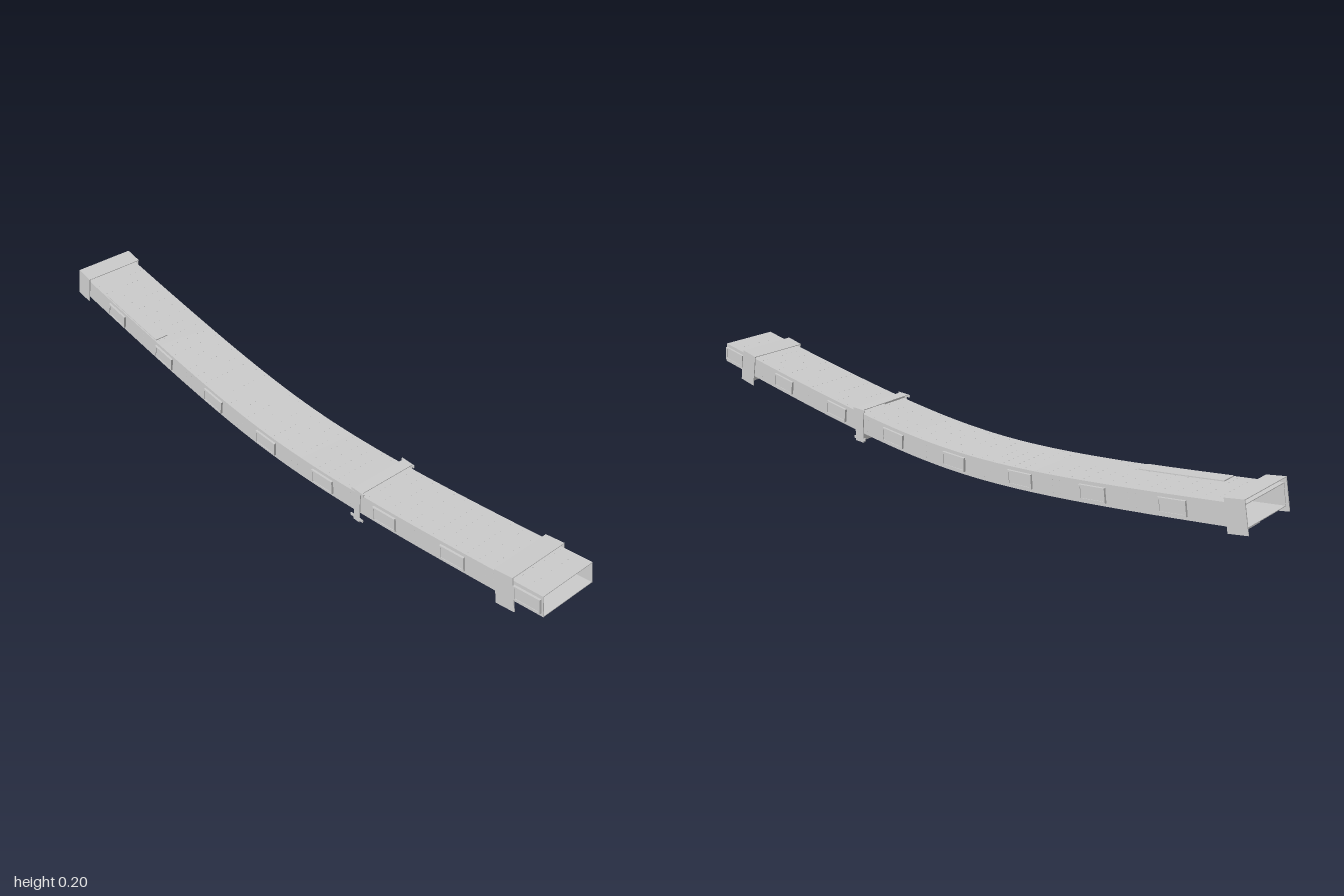
import * as THREE from 'three';
import { mergeGeometries } from 'three/addons/utils/BufferGeometryUtils.js';

const HALF_H = 0.031, HALF_W = 0.092;

// Height and slope of the sagging centre line
const sag = (x) => 0.041 + (x < 0 ? 0.185 : 0.165) * (Math.hypot(x, 0.45) - 0.45);
const slope = (x) => Math.atan((sag(x + 0.001) - sag(x - 0.001)) / 0.002);

// Bend a geometry laid out along x so it follows the centre line
function bend(geometry) {
  const p = geometry.attributes.position;
  for (let i = 0; i < p.count; i++) {
    const x = p.getX(i), y = p.getY(i), a = slope(x);
    p.setX(i, x - y * Math.sin(a));
    p.setY(i, sag(x) + y * Math.cos(a));
  }
  geometry.computeVertexNormals();
  return geometry;
}

function box(w, h, d, x, y, z, segments = 1) {
  return new THREE.BoxGeometry(w, h, d, segments, 1, 1).translate(x, y, z);
}

export function createModel() {
  const model = new THREE.Group();
  const material = new THREE.MeshStandardMaterial({ color: 0xcccccc });
  const add = (name, geometry, parent = model) => {
    const mesh = new THREE.Mesh(geometry, material);
    mesh.name = name;
    parent.add(mesh);
    return mesh;
  };

  // Hollow curved duct, open at both ends
  const x0 = -0.984, x1 = 0.991, len = x1 - x0, mid = (x0 + x1) / 2, t = 0.002;
  for (const s of [1, -1]) {
    add(s > 0 ? 'ductTop' : 'ductBottom',
      bend(box(len, t, HALF_W * 2, mid, s * (HALF_H - t / 2), 0, 48)));
    add(s > 0 ? 'ductFrontWall' : 'ductBackWall',
      bend(box(len, HALF_H * 2 - 2 * t, t, mid, 0, s * (HALF_W - t / 2), 48)));
  }

  // Framed side panels, eight on each side
  const outline = new THREE.Shape();
  outline.moveTo(-0.042, -0.021).lineTo(0.042, -0.021).lineTo(0.042, 0.021).lineTo(-0.042, 0.021).closePath();
  const opening = new THREE.Path();
  opening.moveTo(-0.037, -0.016).lineTo(-0.037, 0.016).lineTo(0.037, 0.016).lineTo(0.037, -0.016).closePath();
  outline.holes.push(opening);
  const panel = mergeGeometries([
    new THREE.ExtrudeGeometry(outline, { depth: 0.007, bevelEnabled: false }).toNonIndexed?.() ?? null,
    box(0.075, 0.033, 0.005, 0, 0, 0.0025).toNonIndexed(),
  ].filter(Boolean));
  for (const side of [1, -1]) {
    for (let i = 0; i < 8; i++) {
      const x = -0.781 + i * 0.2465;
      const mesh = add(side > 0 ? 'frontPanel' : 'backPanel', panel);
      mesh.position.set(x, sag(x), side * HALF_W);
      mesh.rotation.z = slope(x);
      if (side < 0) {
        mesh.rotation.set(0, Math.PI, -slope(x));
      }
    }
  }

  // Rivet rows across the top and down the sides
  const rivets = [];
  const rivet = (x, y, z, onSide) => {
    const g = new THREE.CylinderGeometry(0.0018, 0.0018, 0.0012, 5);
    if (onSide) g.rotateX(Math.PI / 2);
    rivets.push(g.translate(x, y, z));
  };
  for (let i = 0; i < 48; i++) {
    const x = -0.94 + i * 0.04;
    for (let j = 0; j < 9; j++) rivet(x, HALF_H, -0.08 + j * 0.02, false);
  }
  for (let i = 0; i < 7; i++) {
    for (const dx of [-0.012, 0.012]) for (const y of [-0.018, 0, 0.018]) for (const s of [1, -1]) {
      rivet(-0.658 + i * 0.2465 + dx, y, s * HALF_W, true);
    }
  }
  add('rivets', bend(mergeGeometries(rivets)));

  // Thin raised strip along the top
  add('topStrip', bend(box(0.26, 0.003, 0.045, -0.715, HALF_H + 0.0015, 0.066, 8)));

  // Clamps: side plates, raised top plate, riser and cross plates below
  function clamp(name, { x, y, tilt, top, bottom, width, frontWidth, skirts, bulkhead }) {
    const g = new THREE.Group();
    g.name = name;
    g.position.set(x, y, 0);
    g.rotation.z = tilt;
    const h = top - bottom, cy = (top + bottom) / 2;
    add('clampBackPlate', box(width, h, 0.003, 0, cy, -0.0955), g);
    add('clampFrontPlate', box(frontWidth, h, 0.003, 0, cy, 0.0955), g);
    add('clampTopPlate', box(width, 0.002, 0.194, 0, top - 0.001, 0), g);
    const rise = top - HALF_H;
    add('clampRiser', box(0.003, rise, 0.087, 0, HALF_H + rise / 2, 0.0535), g);
    for (const s of skirts) {
      const drop = -HALF_H - bottom - (s > 0 ? 0.004 : 0);
      add('clampSkirt', box(0.003, drop, 0.096, 0, -HALF_H - drop / 2, s * 0.048), g);
    }
    if (bulkhead) add('clampBulkhead', box(0.003, 0.058, 0.18, 0, 0, 0), g);
    model.add(g);
    return g;
  }

  clamp('leftEndClamp', { x: -0.962, y: sag(-0.962), tilt: -0.2, top: 0.045, bottom: -0.046,
    width: 0.058, frontWidth: 0.058, skirts: [1, -1] });
  const middle = clamp('middleClamp', { x: 0.348, y: 0.058, tilt: 0, top: 0.047, bottom: -0.058,
    width: 0.034, frontWidth: 0.022, skirts: [-1] });
  // Flared lips on the middle clamp
  for (const y of [0.043, -0.048]) {
    add('clampLip', box(0.048, 0.008, 0.003, 0, y, -0.0955), middle);
    add('clampLip', box(0.048, 0.008, 0.003, 0, y, 0.0955), middle);
  }
  clamp('rightEndClamp', { x: 0.872, y: sag(0.872), tilt: 0.18, top: 0.041, bottom: -0.062,
    width: 0.06, frontWidth: 0.06, skirts: [1, -1], bulkhead: true });

  return model;
}
